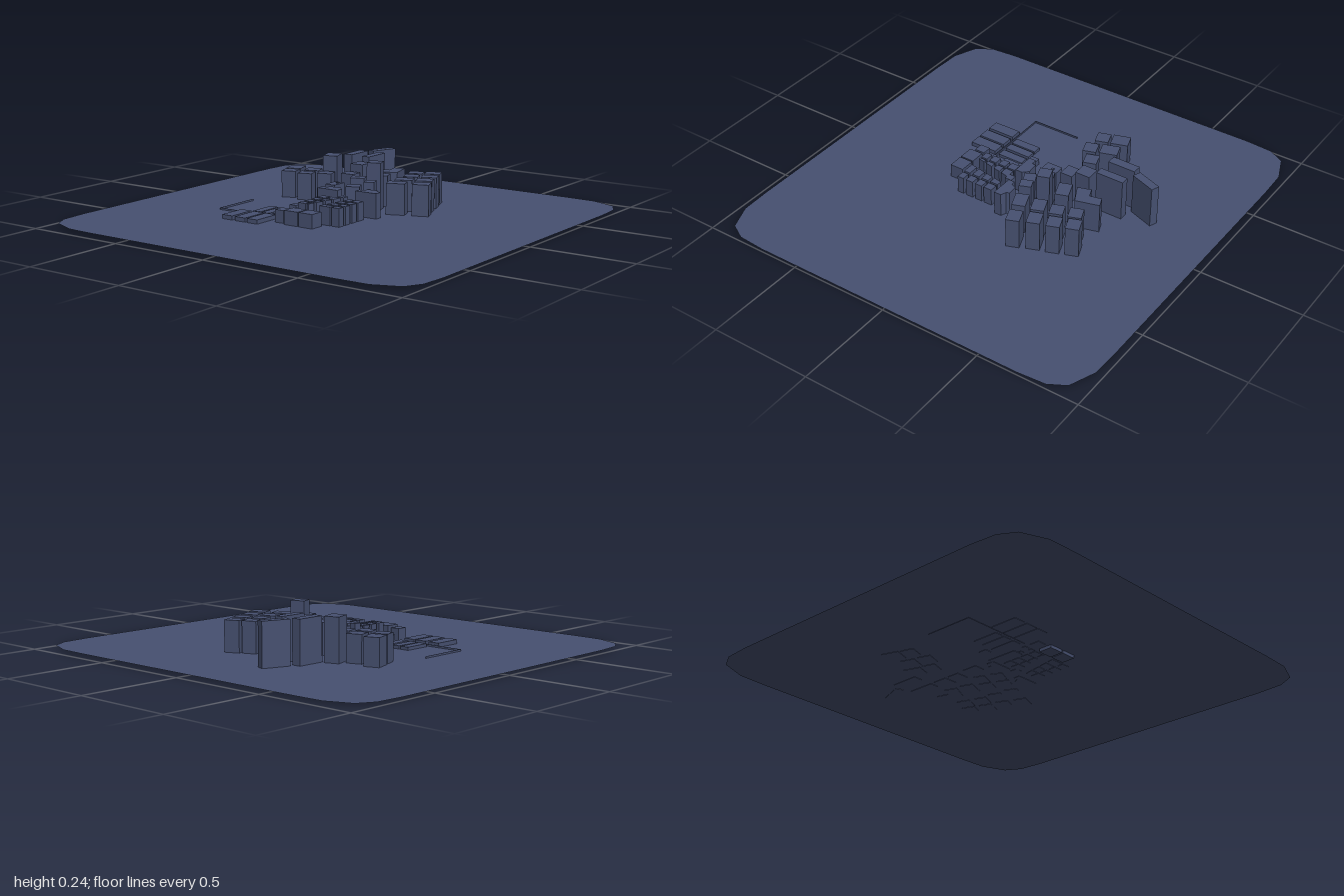
import * as THREE from 'three';

const BASE = 0.013; // underside of the buildings
const material = new THREE.MeshStandardMaterial({ color: 0x465070, flatShading: true, side: THREE.DoubleSide });

export function createModel() {
  const model = new THREE.Group();
  model.name = 'cityDistrict';

  const district = (name) => {
    const g = new THREE.Group();
    g.name = name;
    model.add(g);
    return g;
  };
  const add = (parent, name, geometry) => {
    const mesh = new THREE.Mesh(geometry, material);
    mesh.name = name;
    parent.add(mesh);
    return mesh;
  };
  // Block by plan centre, plan size, roof height and turn in degrees
  const block = (parent, name, x, z, w, d, top, turn = 0, bottom = BASE) => {
    const mesh = add(parent, name, new THREE.BoxGeometry(w, top - bottom, d));
    mesh.position.set(x, (top + bottom) / 2, z);
    mesh.rotation.y = THREE.MathUtils.degToRad(turn);
  };
  const plan = (points) => new THREE.Shape(points.map(([x, z]) => new THREE.Vector2(x, -z)));
  // Block with an irregular plan
  const prism = (parent, name, points, top) => {
    const g = new THREE.ExtrudeGeometry(plan(points), { depth: top - BASE, bevelEnabled: false });
    add(parent, name, g.rotateX(-Math.PI / 2).translate(0, BASE, 0));
  };

  // Ground sheet with softened corners
  const corner = [[1, 0.7], [0.99, 0.835], [0.945, 0.915], [0.82, 0.965], [0.67, 0.97]];
  const flip = (sx, sz) => corner.map(([x, z]) => [x * sx, z * sz - 0.003]);
  const outline = [...flip(1, 1), ...flip(-1, 1).reverse(), ...flip(-1, -1), ...flip(1, -1).reverse()];
  add(model, 'ground', new THREE.ShapeGeometry(plan(outline)).rotateX(-Math.PI / 2).translate(0, 0.015, 0));

  // West quarter: six turned blocks
  const west = district('westQuarter');
  [[-0.485, -0.28, 0.075, 0.085, 0.147], [-0.457, -0.198, 0.072, 0.065, 0.147],
    [-0.377, -0.278, 0.075, 0.07, 0.147], [-0.355, -0.193, 0.072, 0.065, 0.147],
    [-0.297, -0.332, 0.072, 0.085, 0.222], [-0.275, -0.246, 0.072, 0.065, 0.147],
  ].forEach(([x, z, w, d, h]) => block(west, 'westBlock', x, z, w, d, h, 18));

  // East quarter: four rows of turned blocks
  const east = district('eastQuarter');
  [[0.136, -0.425, 0.07], [0.21, -0.462, 0.075], [0.163, -0.342, 0.07], [0.243, -0.38, 0.075],
    [0.18, -0.255, 0.085], [0.27, -0.293, 0.08], [0.196, -0.165, 0.09], [0.307, -0.208, 0.08],
  ].forEach(([x, z, w]) => block(east, 'eastBlock', x, z, w, 0.064, 0.165, 21));

  // Central quarter: turned blocks around one tower
  const centre = district('centralQuarter');
  block(centre, 'tower', 0.05, -0.199, 0.068, 0.06, 0.242, 20);
  block(centre, 'centralBlock', 0.004, -0.085, 0.066, 0.058, 0.14, 25);
  block(centre, 'centralBlock', 0.078, -0.115, 0.052, 0.058, 0.165, 22);
  block(centre, 'centralBlock', -0.025, -0.166, 0.07, 0.055, 0.165, 22);
  block(centre, 'centralBlock', 0.018, -0.283, 0.092, 0.064, 0.165, 20);
  prism(centre, 'steppedBlock', [[-0.02, -0.465], [0.03, -0.485], [0.062, -0.37],
    [-0.03, -0.325], [-0.052, -0.39], [-0.006, -0.407]], 0.165);

  // Northern slabs and the avenue blocks south of them
  const north = district('northQuarter');
  block(north, 'turnedSlab', -0.182, -0.597, 0.042, 0.135, 0.222, -20);
  block(north, 'slab', -0.236, -0.447, 0.047, 0.14, 0.222);
  block(north, 'slab', -0.13, -0.447, 0.043, 0.14, 0.222);
  block(north, 'avenueBlock', -0.117, -0.318, 0.07, 0.075, 0.2);
  block(north, 'avenueBlock', -0.117, -0.23, 0.07, 0.062, 0.165);
  block(north, 'avenueBlock', -0.13, -0.12, 0.053, 0.08, 0.13);

  // Two halls with stepped plans
  const halls = district('halls');
  prism(halls, 'westHall', [[-0.135, -0.025], [-0.105, -0.025], [-0.105, -0.045], [-0.045, -0.05],
    [-0.02, -0.025], [-0.02, 0.012], [-0.135, 0.012]], 0.13);
  prism(halls, 'eastHall', [[0.067, -0.043], [0.09, -0.043], [0.1, -0.07], [0.15, -0.073],
    [0.157, -0.058], [0.185, -0.047], [0.185, -0.01], [0.067, -0.01]], 0.135);
  block(halls, 'linkBlock', 0.015, 0.018, 0.035, 0.036, 0.105);

  // Old town: a grid of small blocks with slanted lanes
  const town = district('oldTown');
  const rows = [[0.035, 0.078], [0.09, 0.127], [0.142, 0.18], [0.195, 0.228]];
  rows.forEach(([z0, z1]) => {
    const lane = (z) => 0.015 - 0.21 * (z - 0.035);
    const lane2 = (z) => 0.067 - 0.18 * (z - 0.035);
    block(town, 'townBlock', -0.065, (z0 + z1) / 2, 0.043, z1 - z0, 0.102);
    prism(town, 'townBlock', [[-0.035, z0], [lane(z0), z0], [lane(z1), z1], [-0.035, z1]], 0.102);
    prism(town, 'townBlock', [[lane2(z0), z0], [0.094, z0], [0.094, z1], [lane2(z1), z1]], 0.102);
    block(town, 'townBlock', 0.125, (z0 + z1) / 2, 0.042, z1 - z0, 0.102);
  });

  // Small houses west of the old town
  const houses = district('smallHouses');
  block(houses, 'longHouse', -0.13, 0.122, 0.053, 0.082, 0.055);
  block(houses, 'narrowHouse', -0.146, 0.043, 0.022, 0.075, 0.06);
  block(houses, 'house', -0.233, 0.056, 0.038, 0.042, 0.045);
  [[-0.122, 0.175, 0.02], [-0.144, 0.222, 0.026], [-0.108, 0.224, 0.02]].forEach(([x, z, s]) =>
    block(houses, 'cottage', x, z, s, 0.018, 0.05));
  [[-0.12, 0.1], [-0.12, 0.12], [-0.12, -0.13]].forEach(([x, z], i) =>
    block(houses, 'roofHatch', x, z, 0.012, 0.012, i < 2 ? 0.06 : 0.135));

  // Riverside blocks reaching below the ground sheet
  const south = district('southFront');
  block(south, 'cornerBlock', -0.132, 0.285, 0.048, 0.052, 0.075);
  [-0.053, 0.03].forEach((x) => block(south, 'frontBlock', x, 0.292, 0.076, 0.07, 0.082, 0, 0));

  // Low sheds in two rows of three
  const sheds = district('lowSheds');
  [-0.328, -0.275, -0.215].forEach((x) => block(sheds, 'shed', x, 0.165, 0.044, 0.134, 0.03));
  [-0.372, -0.295, -0.225].forEach((x) => block(sheds, 'shed', x, 0.325, 0.06, 0.14, 0.035));

  // Thin low wall bending around the sheds
  const wall = district('boundaryWall');
  block(wall, 'wallSide', -0.538, 0.125, 0.002, 0.25, 0.024);
  block(wall, 'wallFront', -0.36, 0.248, 0.356, 0.002, 0.024);

  return model;
}
